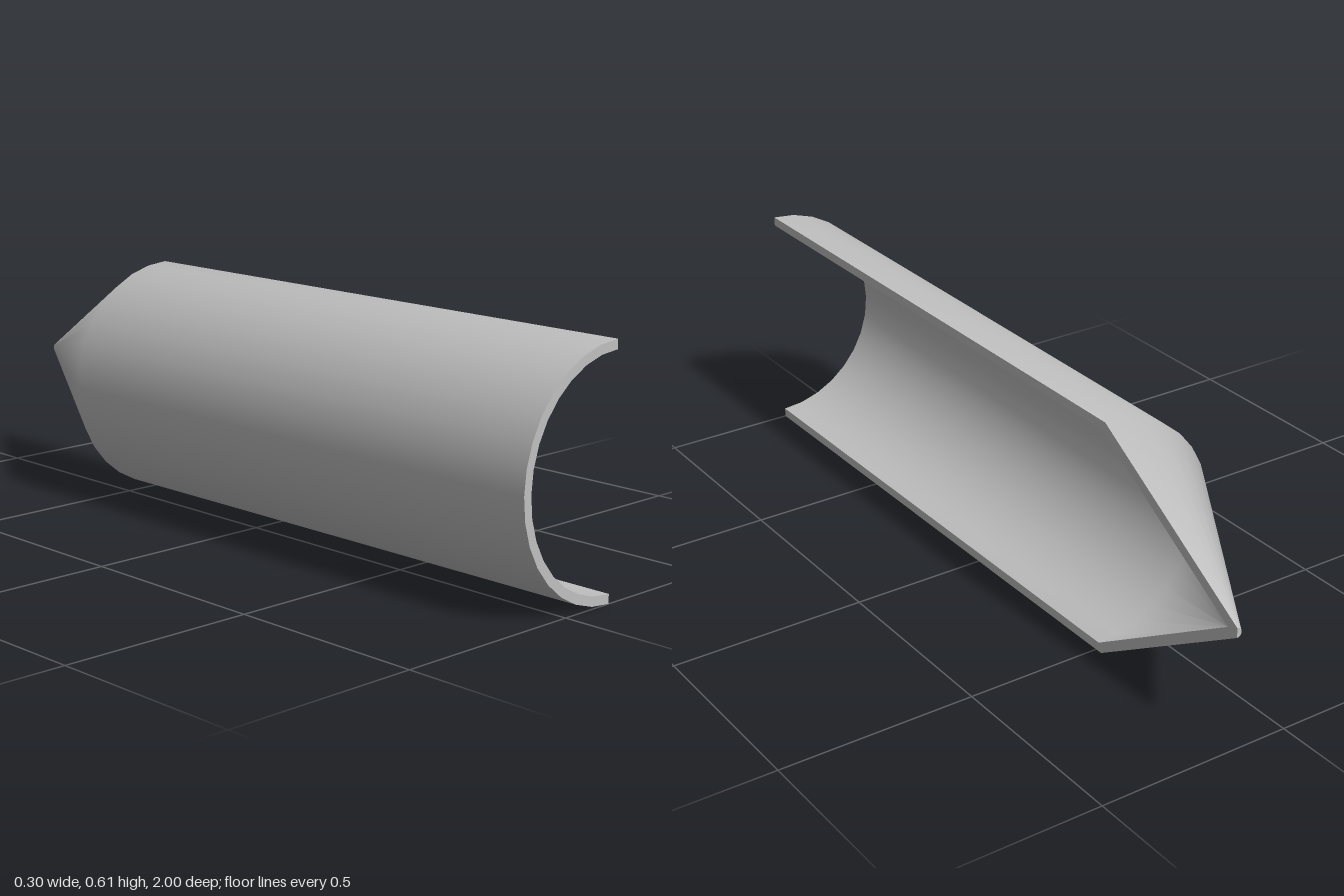
import * as THREE from 'three';

const AXIS_X = 0.15, AXIS_Y = 0.3025; // the cut runs along the shell's axis
const SEGMENTS = 16;

// Wall profile as [radius, z], from the pointed end to the open front and back
const OUTER = [[0.012, -1], [0.3025, -0.52], [0.3025, 1]];
const INNER = [[0.279, 1], [0.279, -0.51], [0.0005, -0.968]];

export function createModel() {
  const group = new THREE.Group();
  group.name = 'halfShell';

  const grey = new THREE.MeshStandardMaterial({ color: 0xc0c0c0 });
  grey.name = 'plain grey';

  const add = (name, geometry) => {
    geometry.translate(AXIS_X, AXIS_Y, 0);
    const mesh = new THREE.Mesh(geometry, grey);
    mesh.name = name;
    group.add(mesh);
  };

  // Half a turn about the z axis, on the -x side
  const halfTurn = (profile) => {
    const points = profile.map(([r, z]) => new THREE.Vector2(r, z));
    const geometry = new THREE.LatheGeometry(points, SEGMENTS, Math.PI, Math.PI);
    geometry.rotateX(Math.PI / 2);
    geometry.computeVertexNormals(); // soft blend from tube to cone
    return geometry;
  };

  add('outerWall', halfTurn(OUTER));
  add('innerWall', halfTurn(INNER));
  add('frontRim', halfTurn([OUTER[2], INNER[0]]));
  add('bluntTip', halfTurn([[0, -1], OUTER[0]]));

  // Flat cut face of the wall, upper and lower halves joined at the tip
  const at = (side) => ([r, z]) => new THREE.Vector2(-z, side * r);
  const outline = [
    ...[...OUTER].reverse().map(at(1)),
    ...OUTER.map(at(-1)),
    ...INNER.map(at(-1)),
    ...[...INNER].reverse().map(at(1)),
  ];
  const cut = new THREE.ShapeGeometry(new THREE.Shape(outline));
  cut.rotateY(Math.PI / 2);
  add('cutFace', cut);

  return group;
}
